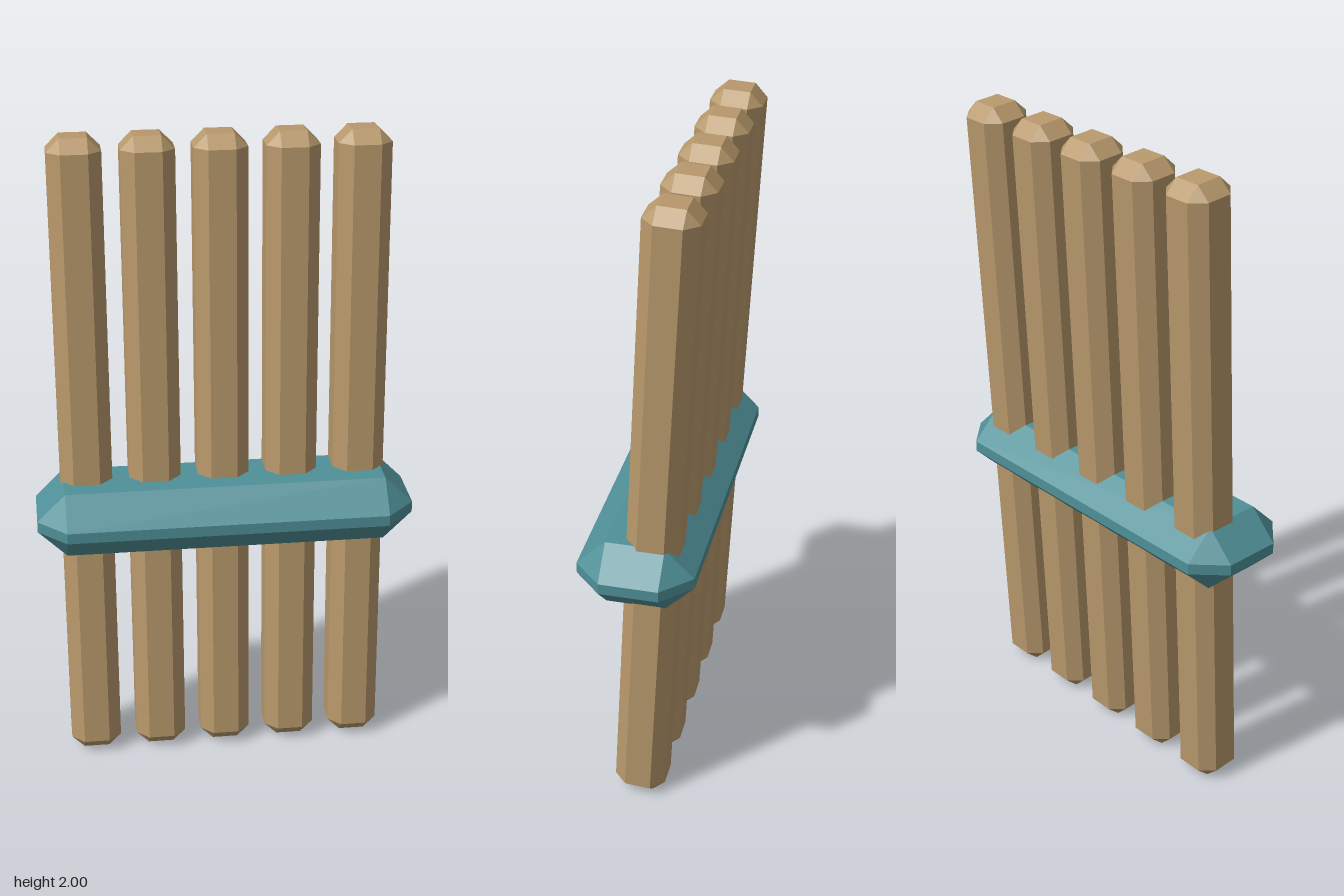
import * as THREE from 'three';
import { ConvexGeometry } from 'three/addons/geometries/ConvexGeometry.js';

// Box with every edge and corner cut off by the same bevel
function chamferedBox(width, height, depth, bevel) {
  const half = [width / 2, height / 2, depth / 2];
  const points = [];
  for (const sx of [-1, 1]) for (const sy of [-1, 1]) for (const sz of [-1, 1]) {
    const sign = [sx, sy, sz];
    for (let axis = 0; axis < 3; axis++) {
      const p = half.map((h, i) => sign[i] * (i === axis ? h : h - bevel));
      points.push(new THREE.Vector3(...p));
    }
  }
  return new ConvexGeometry(points);
}

export function createModel() {
  const model = new THREE.Group();
  model.name = 'fencePanel';

  const wood = new THREE.MeshStandardMaterial({ color: 0xb8996c, flatShading: true });
  wood.name = 'tan wood';
  const teal = new THREE.MeshStandardMaterial({ color: 0x4f9098, flatShading: true });
  teal.name = 'teal';

  // Five upright posts leaning back by three degrees
  const postGeometry = chamferedBox(0.158, 1.998, 0.158, 0.039);
  for (let i = -2; i <= 2; i++) {
    const post = new THREE.Mesh(postGeometry, wood);
    post.name = `post${i + 3}`;
    post.position.set(i * 0.21, 1, -0.05);
    post.rotation.x = -THREE.MathUtils.degToRad(3);
    model.add(post);
  }

  // Crossbar binding the posts together
  const crossbar = new THREE.Mesh(chamferedBox(1.152, 0.208, 0.35, 0.087), teal);
  crossbar.name = 'crossbar';
  crossbar.position.y = 0.846;
  model.add(crossbar);

  return model;
}
